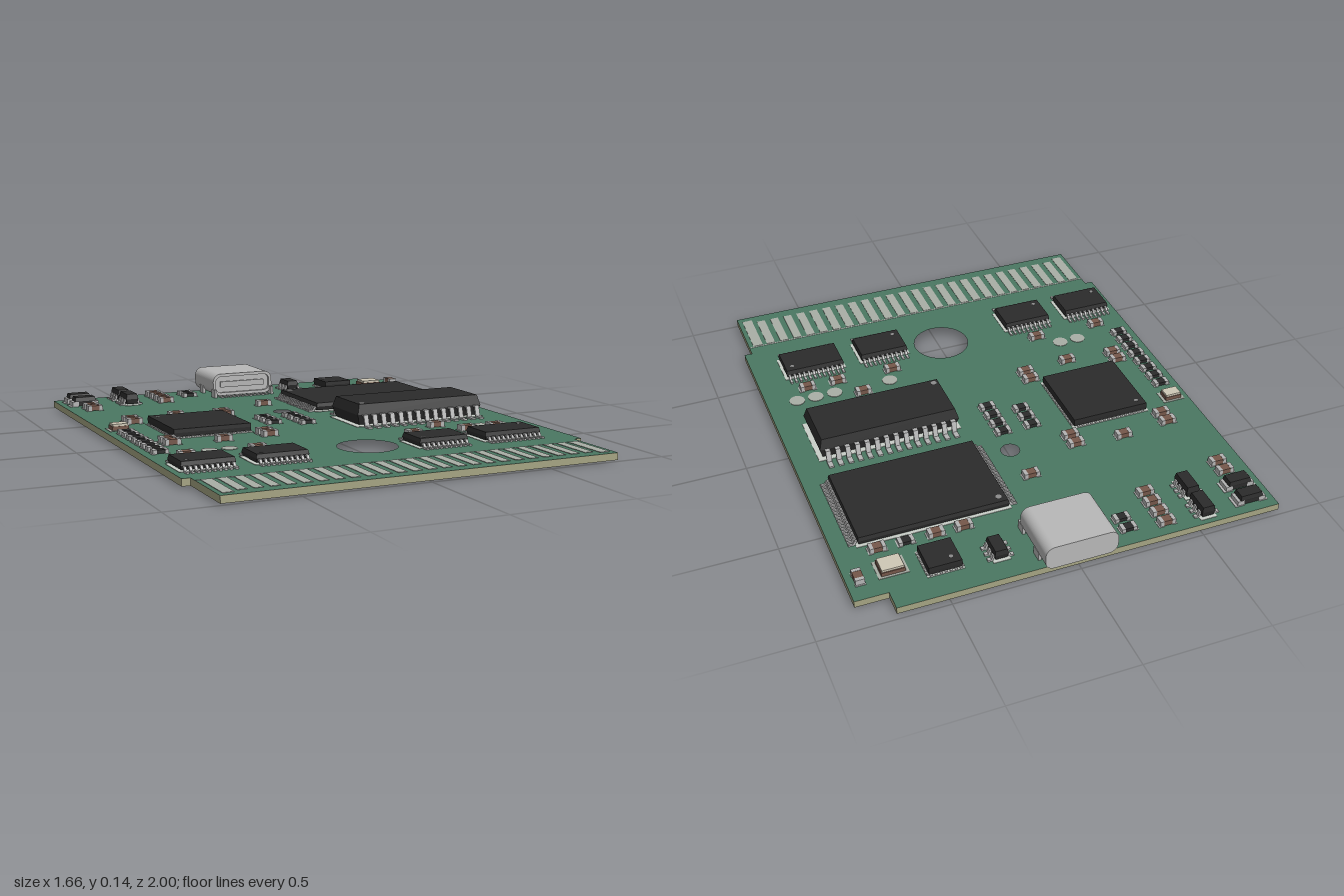
import * as THREE from 'three';
import { mergeGeometries } from 'three/addons/utils/BufferGeometryUtils.js';

const T = 0.034; // top surface of the board
const mat = (color, extra = {}) => new THREE.MeshStandardMaterial({ color, ...extra });
const M = {
  mask: mat(0x4a7862), core: mat(0xa5a483), black: mat(0x2b2b2b), metal: mat(0xb4b4b4),
  silk: mat(0xc9cfc8), brown: mat(0x75574a), steel: mat(0xb8b8b8), cream: mat(0xcfc8b6),
  dot: mat(0x8c8c8c), pad: mat(0xa9aea6),
};

function add(parent, name, geo, material, x = 0, y = 0, z = 0) {
  const m = new THREE.Mesh(geo, material);
  m.name = name;
  m.position.set(x, y, z);
  parent.add(m);
  return m;
}
// box placed by centre in x and z and by its bottom and top heights
const slab = (w, d, y0, y1, x = 0, z = 0) =>
  new THREE.BoxGeometry(w, y1 - y0, d).translate(x, (y0 + y1) / 2, z);

// moulded package: widest at mid height, drawn in at top and bottom
function moulded(w, d, y0, y1, draft) {
  const g = new THREE.BoxGeometry(w, y1 - y0, d, 1, 2, 1).toNonIndexed();
  const p = g.attributes.position;
  for (let i = 0; i < p.count; i++) {
    if (Math.abs(p.getY(i)) < 1e-5) continue;
    p.setX(i, p.getX(i) - Math.sign(p.getX(i)) * draft);
    p.setZ(i, p.getZ(i) - Math.sign(p.getZ(i)) * draft);
  }
  g.computeVertexNormals();
  return g.translate(0, (y0 + y1) / 2, 0);
}

// gull-wing lead running outwards along +x from the body side
function lead(reach, shoulder, width) {
  const t = 0.007, a = reach * 0.3, b = reach * 0.5;
  const s = new THREE.Shape([
    [-0.012, shoulder], [a, shoulder], [b, t], [reach, t], [reach, 0], [b - t, 0],
    [a - t, shoulder - t], [-0.012, shoulder - t]].map(([x, y]) => new THREE.Vector2(x, y)));
  return new THREE.ExtrudeGeometry(s, { depth: width, bevelEnabled: false }).translate(0, T, -width / 2);
}

// packaged chip with leads on two sides; long axis x, leads on z unless sideX is set
function chip(root, name, o) {
  const g = new THREE.Group();
  g.name = name;
  g.position.set(o.x, 0, o.z);
  root.add(g);
  add(g, 'outline', slab(o.w + 0.014, o.d + 0.014, T, T + 0.002), M.silk);
  add(g, 'body', moulded(o.w, o.d, T + 0.006, o.top, o.draft ?? 0.004), M.black);
  if (o.n) {
    const half = (o.sideX ? o.w : o.d) / 2 - 0.002, leads = [];
    for (const side of [0, 1]) for (let i = 0; i < o.n; i++) {
      const l = lead(o.reach, (o.top - T) * 0.55, o.pitch * 0.5);
      l.translate(half, 0, (i - (o.n - 1) / 2) * o.pitch);
      l.rotateY(side * Math.PI + (o.sideX ? 0 : Math.PI / 2));
      leads.push(l);
    }
    add(g, 'leads', mergeGeometries(leads), M.metal);
  }
  if (o.dot) {
    const r = o.w > 0.5 ? 0.012 : 0.008, inset = 0.033;
    add(g, 'pinOneMark', new THREE.CylinderGeometry(r, r, 0.002, 16), M.dot,
      o.dot[0] * (o.w / 2 - inset), o.top, o.dot[1] * (o.d / 2 - inset));
  }
  return g;
}

// leadless package: contacts around all four edges
function leadless(root, name, x, z, size, n) {
  const g = chip(root, name, { x, z, w: size, d: size, top: 0.071, draft: 0.001, dot: [-1, -1] });
  const pads = [], pitch = size * 0.88 / (n - 1);
  for (let s = 0; s < 4; s++) for (let i = 0; i < n; i++)
    pads.push(slab(pitch * 0.5, 0.014, T, T + 0.007, (i - (n - 1) / 2) * pitch, size / 2).rotateY(s * Math.PI / 2));
  add(g, 'contacts', mergeGeometries(pads), M.metal);
}

// two-terminal chip part
function passive(root, name, x, z, body, w = 0.068, d = 0.036, h = 0.023) {
  const g = new THREE.Group();
  g.name = name;
  g.position.set(x, 0, z);
  root.add(g);
  add(g, 'body', slab(w * 0.52, d * 0.96, T + 0.002, T + h), body);
  add(g, 'terminals', mergeGeometries([-1, 1].flatMap(s => [
    slab(w * 0.22, d, T + 0.001, T + h + 0.001, s * w * 0.36),
    slab(w * 0.3, d * 1.1, T, T + 0.002, s * w * 0.4)])), M.metal);
  return g;
}

function roundedRect(w, h, r, C = THREE.Shape) {
  const s = new C(), a = w / 2 - r, b = h / 2 - r;
  s.absarc(a, b, r, 0, Math.PI / 2).absarc(-a, b, r, Math.PI / 2, Math.PI);
  s.absarc(-a, -b, r, Math.PI, Math.PI * 1.5).absarc(a, -b, r, Math.PI * 1.5, Math.PI * 2);
  s.closePath();
  return s;
}

function buildBoard(root) {
  const outline = [[-0.83, -0.98], [0.7, -0.98], [0.7, -0.897], [0.83, -0.897], [0.83, 0.718],
    [0.797, 0.718], [0.797, 1], [-0.797, 1], [-0.797, 0.718], [-0.83, 0.718]];
  const s = new THREE.Shape(outline.map(([x, z]) => new THREE.Vector2(x, -z)));
  for (const [z, r] of [[0.5, 0.118], [-0.31, 0.038]])
    s.holes.push(new THREE.Path().absarc(0, -z, r, 0, Math.PI * 2, true));
  const g = new THREE.ExtrudeGeometry(s, { depth: T - 0.006, bevelEnabled: false, curveSegments: 32 })
    .rotateX(-Math.PI / 2).translate(0, 0.006, 0);
  add(root, 'board', g, [M.mask, M.core]);

  // edge contacts, test pads
  const fingers = [-1, 1].map(s => slab(0.042, 0.205, T, T + 0.002, s * 0.757, 0.87));
  for (let i = 0; i < 24; i++) fingers.push(slab(0.036, 0.185, T, T + 0.002, (i - 11.5) * 0.0608, 0.86));
  add(root, 'edgeContacts', mergeGeometries(fingers), M.pad);
  add(root, 'contactLine', slab(1.59, 0.005, T, T + 0.0015, 0, 0.763), M.silk);
  for (const x of [-0.574, -0.492, 0.299, 0.542, 0.624, 0.704])
    add(root, 'testPad', new THREE.CylinderGeometry(0.032, 0.032, 0.002, 24), M.pad, x, T + 0.001, 0.314);
}

function buildConnector(root) {
  const g = new THREE.Group();
  g.name = 'connector';
  g.position.set(0, 0.09, -1);
  root.add(g);
  const extrude = (s, depth) => new THREE.ExtrudeGeometry(s, { depth, bevelEnabled: false, curveSegments: 10 });
  add(g, 'shell', extrude(roundedRect(0.288, 0.1, 0.036), 0.225), M.steel);
  const rim = roundedRect(0.288, 0.1, 0.036);
  rim.holes.push(roundedRect(0.262, 0.074, 0.025, THREE.Path));
  add(g, 'rim', extrude(rim, 0.012), M.steel, 0, 0, 0.225);
  const tongue = roundedRect(0.215, 0.026, 0.004);
  add(g, 'insert', extrude(tongue, 0.008), M.metal, 0, 0, 0.225);
  const pins = [];
  for (let i = 0; i < 12; i++) pins.push(slab(0.011, 0.045, T, T + 0.006, (i - 5.5) * 0.02, -0.755));
  add(root, 'connectorPins', mergeGeometries(pins), M.metal);
  // mounting tabs passing through the board
  const tabs = [];
  for (const s of [-1, 1]) for (const z of [-0.765, -0.915]) tabs.push(slab(0.012, 0.045, 0, 0.07, s * 0.139, z));
  add(root, 'connectorTabs', mergeGeometries(tabs), M.metal);
}

export function createModel() {
  const root = new THREE.Group();
  root.name = 'circuitBoard';
  buildBoard(root);
  buildConnector(root);

  // large packages
  leadless(root, 'processor', -0.46, -0.106, 0.326, 16);
  leadless(root, 'controller', 0.477, -0.806, 0.13, 7);
  chip(root, 'flashMemory', { x: 0.432, z: -0.433, w: 0.6, d: 0.392, top: 0.071, n: 24, pitch: 0.0159, reach: 0.036, sideX: true, dot: [-1, -1] });
  chip(root, 'memory', { x: 0.43, z: 0.022, w: 0.582, d: 0.242, top: 0.125, draft: 0.012, n: 14, pitch: 0.0404, reach: 0.063, dot: [-1, 1] });

  // bus buffers
  for (const [x, w, n, dot] of [[-0.693, 0.21, 10, [-1, 1]], [-0.405, 0.21, 10, [-1, 1]],
    [0.267, 0.21, 10, [-1, 1]], [0.577, 0.252, 12, [1, -1]]])
    chip(root, 'busBuffer', { x, z: 0.55, w, d: 0.142, top: 0.071, n, pitch: 0.0207, reach: 0.043, dot });

  // small regulators
  for (const [x, z, w, d, top] of [[-0.542, -0.9, 0.054, 0.104, 0.084], [-0.542, -0.776, 0.054, 0.104, 0.084],
    [0.267, -0.84, 0.054, 0.094, 0.078]])
    chip(root, 'regulator', { x, z, w, d, top, n: 3, pitch: 0.032, reach: 0.026, sideX: true });

  // diodes
  for (const z of [-0.91, -0.82]) passive(root, 'diode', -0.735, z, M.black, 0.125, 0.055, 0.02)
    .add(new THREE.Mesh(moulded(0.094, 0.055, T + 0.006, 0.074, 0.004), M.black));

  // capacitors
  const caps = [[-0.73, [-0.734, -0.675]], [-0.381, [-0.92, -0.86, -0.8, -0.74]], [-0.016, [-0.484]],
    [0.333, [-0.67]], [0.444, [-0.67]], [0.672, [-0.67]], [-0.667, [-0.37, -0.314, 0.1, 0.155]],
    [-0.259, [-0.37, -0.314, 0.1, 0.155]], [-0.46, [-0.388, 0.171]], [0.429, [0.271]],
    [-0.693, [0.383]], [-0.407, [0.383]], [0.265, [0.383]], [0.508, [0.383]], [0.64, [0.383]]];
  for (const [x, zs] of caps) for (const z of zs) passive(root, 'capacitor', x, z, M.brown);
  passive(root, 'capacitor', 0.783, -0.792, M.brown).rotation.y = Math.PI / 2;

  // resistors: column x, first z, count
  for (const [x, z0, n] of [[-0.233, -0.899, 2], [0.561, -0.67, 1], [-0.143, -0.191, 3],
    [-0.016, -0.191, 4], [-0.762, -0.122, 8]])
    for (let i = 0; i < n; i++) passive(root, 'resistor', x, z0 + i * 0.0585, M.black, 0.066, 0.036, 0.016);

  // crystals
  for (const [x, z, w, d] of [[0.656, -0.777, 0.092, 0.076], [-0.762, -0.218, 0.07, 0.052]]) {
    add(root, 'crystalPads', slab(w + 0.024, d + 0.018, T, T + 0.002, x, z), M.pad);
    add(root, 'crystalBase', slab(w, d, T + 0.002, T + 0.018, x, z), M.brown);
    add(root, 'crystalLid', slab(w * 0.92, d * 0.9, T + 0.018, T + 0.027, x, z), M.cream);
  }
  return root;
}
